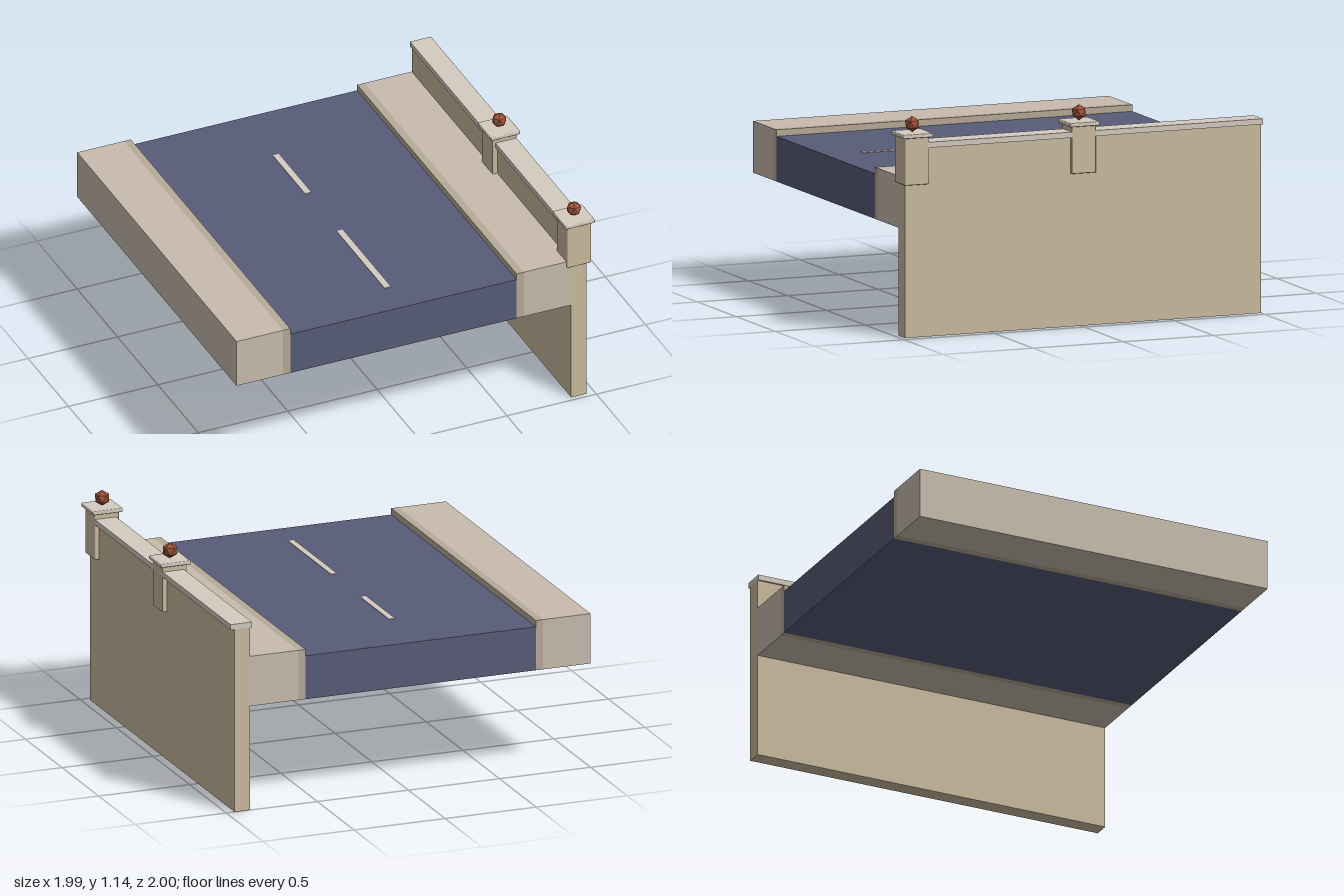
import * as THREE from 'three';
import { RoundedBoxGeometry } from 'three/addons/geometries/RoundedBoxGeometry.js';

const paint = (color) => new THREE.MeshStandardMaterial({ color });

export function createModel() {
  const group = new THREE.Group();
  const asphalt = paint(0x585c78);
  const paving = paint(0xc8bcae);
  const kerbstone = paint(0xb7aa97);
  const masonry = paint(0xcbbb9f);
  const coping = paint(0xd4cbc0);
  const copper = paint(0xa0533a);
  const backZ = -1, frontZ = 0.975;

  // Block given by its extents, optionally with softened edges
  function block(name, material, [x0, x1], [y0, y1], [z0, z1], bevel = 0, parent = group) {
    const size = [x1 - x0, y1 - y0, z1 - z0];
    const geometry = bevel
      ? new RoundedBoxGeometry(...size, 2, bevel)
      : new THREE.BoxGeometry(...size);
    const mesh = new THREE.Mesh(geometry, material);
    mesh.name = name;
    mesh.position.set((x0 + x1) / 2, (y0 + y1) / 2, (z0 + z1) / 2);
    parent.add(mesh);
    return mesh;
  }

  // Roadway, kerbs and pavements
  const length = [backZ, frontZ];
  block('roadway', asphalt, [-0.7, 0.565], [0.557, 0.79], length);
  block('rightPavement', paving, [-1, -0.74], [0.557, 0.824], length);
  block('rightKerb', kerbstone, [-0.74, -0.7], [0.557, 0.824], length);
  block('leftKerb', kerbstone, [0.565, 0.605], [0.557, 0.824], length);
  block('leftPavement', paving, [0.605, 0.87], [0.557, 0.824], length);

  // Lane dashes
  for (const dash of [[-0.61, -0.21], [0.18, 0.775]]) {
    block('laneDash', coping, [-0.083, -0.05], [0.786, 0.793], dash);
  }

  // Retaining wall with its coping
  block('retainingWall', masonry, [0.87, 0.955], [0, 0.978], length);
  block('wallCoping', coping, [0.86, 0.977], [0.978, 1.007], length);

  // Pillars with cap slabs and faceted finials, one vertex pointing up
  const finialGeometry = new THREE.IcosahedronGeometry(0.041, 0);
  finialGeometry.rotateZ(Math.atan(2 / (1 + Math.sqrt(5))));
  copper.flatShading = true;
  const x = 0.911;
  for (const z of [-0.008, 0.917]) {
    const pillar = new THREE.Group();
    pillar.name = 'pillar';
    block('pillarShaft', masonry, [x - 0.067, x + 0.067], [0.79, 1.036], [z - 0.067, z + 0.067], 0.005, pillar);
    block('pillarCap', coping, [x - 0.082, x + 0.082], [1.034, 1.055], [z - 0.082, z + 0.082], 0.005, pillar);
    const finial = new THREE.Mesh(finialGeometry, copper);
    finial.name = 'finial';
    finial.position.set(x, 1.096, z);
    pillar.add(finial);
    group.add(pillar);
  }

  return group;
}
